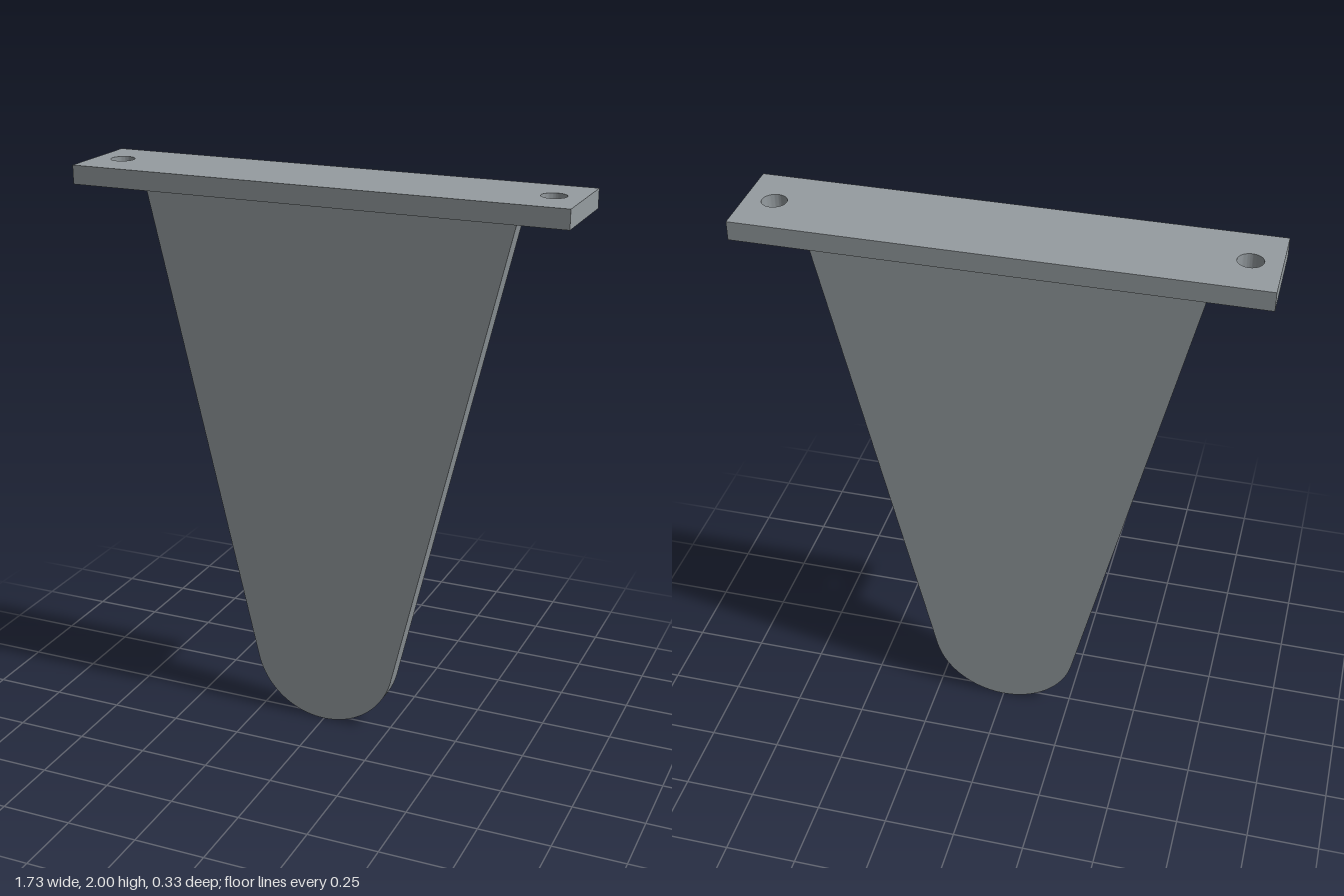
import * as THREE from 'three';
import { toCreasedNormals } from 'three/addons/utils/BufferGeometryUtils.js';

const steel = new THREE.MeshStandardMaterial({ color: 0x959ca0 });
steel.name = 'grey steel';

// Extrudes a shape, with smooth curves and sharp edges
function extrude(shape, depth) {
  const geometry = new THREE.ExtrudeGeometry(shape, { depth, bevelEnabled: false, curveSegments: 32 });
  return toCreasedNormals(geometry, 0.6);
}

export function createModel() {
  const model = new THREE.Group();
  model.name = 'bracket';

  const halfLength = 0.866, halfWidth = 0.166, plateBottom = 1.935;

  // Mounting plate with a screw hole near each end
  const plateShape = new THREE.Shape();
  plateShape.moveTo(-halfLength, -halfWidth);
  plateShape.lineTo(halfLength, -halfWidth);
  plateShape.lineTo(halfLength, halfWidth);
  plateShape.lineTo(-halfLength, halfWidth);
  plateShape.closePath();
  for (const side of [-1, 1]) {
    const hole = new THREE.Path();
    hole.absarc(side * 0.766, 0, 0.042, 0, Math.PI * 2, true);
    plateShape.holes.push(hole);
  }
  const plateGeometry = extrude(plateShape, 2 - plateBottom);
  plateGeometry.rotateX(-Math.PI / 2);
  const plate = new THREE.Mesh(plateGeometry, steel);
  plate.name = 'mountingPlate';
  plate.position.y = plateBottom;
  model.add(plate);

  // Tapered web, its straight sides tangent to the round tip
  const radius = 0.267, topHalf = 0.666, thickness = 0.066;
  const tilt = Math.atan2(topHalf - 0.26, plateBottom - 0.206);
  const webShape = new THREE.Shape();
  webShape.moveTo(topHalf, plateBottom);
  webShape.lineTo(-topHalf, plateBottom);
  webShape.absarc(0, radius, radius, Math.PI + tilt, Math.PI * 2 - tilt, false);
  webShape.closePath();
  const web = new THREE.Mesh(extrude(webShape, thickness), steel);
  web.name = 'taperedWeb';
  web.position.z = -thickness / 2;
  model.add(web);

  return model;
}
